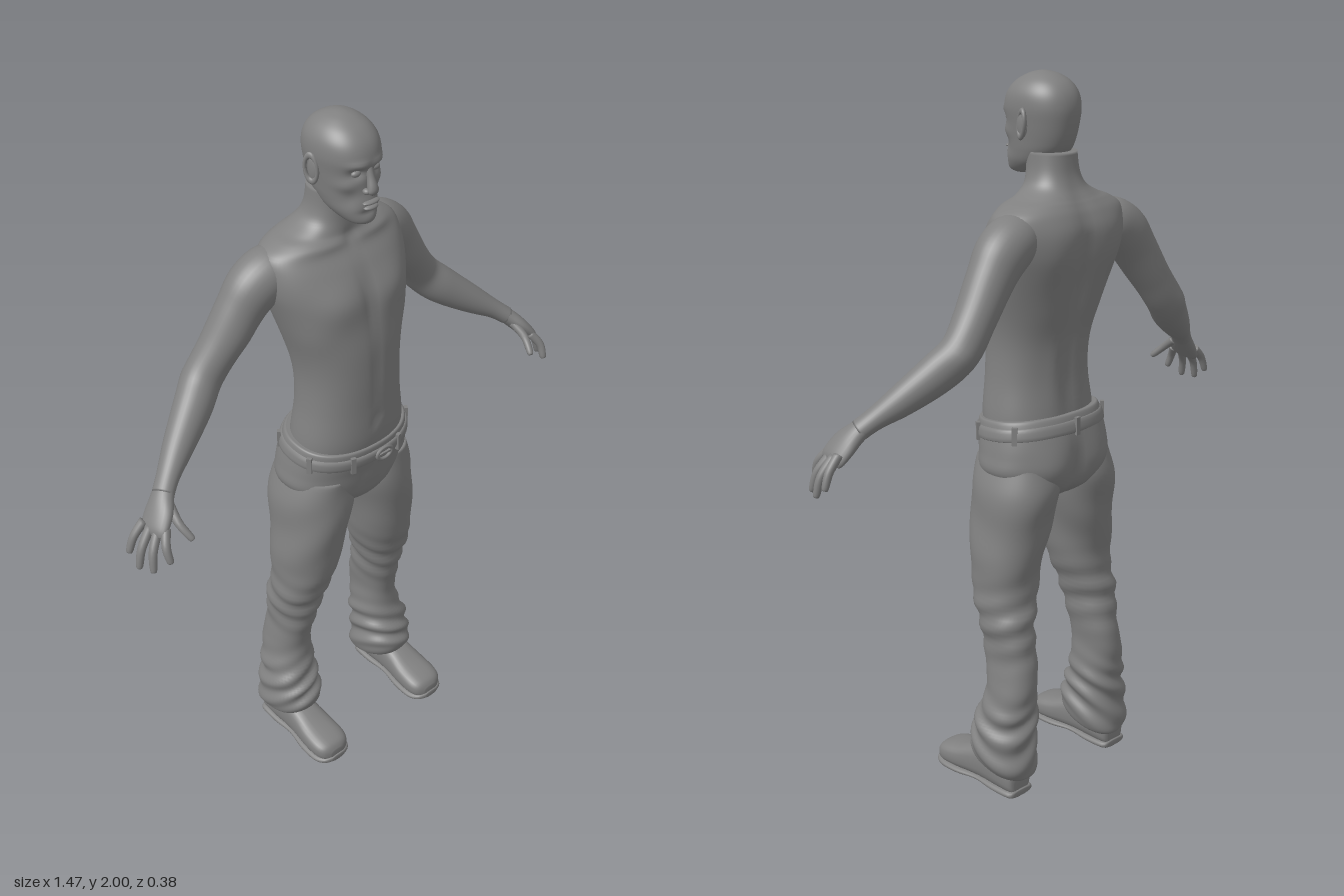
import * as THREE from 'three';

const gray = new THREE.MeshStandardMaterial({ color: 0x808080 });
gray.name = 'clay gray';
const V = (x, y, z) => new THREE.Vector3(x, y, z);

// Smoothly interpolates every column of a table of cross-sections
function spline(rows, sub) {
  const out = [];
  const at = (i) => rows[Math.min(Math.max(i, 0), rows.length - 1)];
  for (let i = 0; i < rows.length - 1; i++) {
    for (let k = 0; k < sub; k++) {
      const t = k / sub;
      out.push(rows[i].map((b, c) => {
        const a = at(i - 1)[c], d = at(i + 1)[c], e = at(i + 2)[c];
        return b + 0.5 * t * (d - a + t * (2 * a - 5 * b + 4 * d - e + t * (3 * (b - d) + e - a)));
      }));
    }
  }
  out.push(rows[rows.length - 1]);
  return out;
}

// Skins closed rings of points and caps both ends
function skin(rings) {
  const n = rings[0].length, m = rings.length, pos = [], index = [];
  rings.forEach((r) => r.forEach((p) => pos.push(p.x, p.y, p.z)));
  for (const r of [rings[0], rings[m - 1]]) {
    const c = r.reduce((s, p) => s.add(p), V(0, 0, 0)).divideScalar(n);
    pos.push(c.x, c.y, c.z);
  }
  for (let j = 0; j < n; j++) {
    const k = (j + 1) % n;
    for (let i = 0; i < m - 1; i++) {
      const a = i * n + j, b = i * n + k;
      index.push(a, a + n, b, b, a + n, b + n);
    }
    index.push(m * n, j, k, m * n + 1, (m - 1) * n + k, (m - 1) * n + j);
  }
  const g = new THREE.BufferGeometry();
  g.setAttribute('position', new THREE.Float32BufferAttribute(pos, 3));
  g.setIndex(index);
  g.computeVertexNormals();
  return g;
}

// Unit superellipse
function outline(seg, power) {
  const f = (v) => Math.sign(v) * Math.pow(Math.abs(v), 2 / power);
  return Array.from({ length: seg }, (_, j) => {
    const a = (j / seg) * Math.PI * 2;
    return [f(Math.cos(a)), f(Math.sin(a))];
  });
}

// Horizontal sections, rising: [y, centre x, half width, front z, back z]
function stack(rows, seg = 48, power = 2.2, sub = 5) {
  const o = outline(seg, power);
  return skin(spline(rows, sub).map(([y, cx, w, f, b]) =>
    o.map(([c, s]) => V(cx + w * c, y, (f + b) / 2 + ((f - b) / 2) * s))));
}

// Sections along a path: [x, y, z, radius across, radius toward the front]
function limb(rows, seg = 20, sub = 5) {
  const o = outline(seg, 2), list = spline(rows, sub);
  const P = list.map((r) => V(r[0], r[1], r[2]));
  return skin(list.map((r, i) => {
    const t = P[Math.min(i + 1, P.length - 1)].clone().sub(P[Math.max(i - 1, 0)]).normalize();
    const u = t.clone().cross(V(0, 0, 1)).normalize(), v = u.clone().cross(t);
    return o.map(([c, s]) => P[i].clone().addScaledVector(u, r[3] * c).addScaledVector(v, r[4] * s));
  }));
}

// Shoe sections from heel to toe: [z, half width, bottom, top]
function shoeForm(rows) {
  const o = outline(28, 2.7);
  return skin(spline(rows, 4).map(([z, w, lo, hi]) =>
    o.map(([c, s]) => V(0.195 + w * c, (lo + hi) / 2 - ((hi - lo) / 2) * s, z))));
}

// Moves each vertex along its normal by a rule
function sculpt(g, rule) {
  const p = g.attributes.position, n = g.attributes.normal;
  for (let i = 0; i < p.count; i++) {
    const d = rule(p.getX(i), p.getY(i), p.getZ(i));
    p.setXYZ(i, p.getX(i) + n.getX(i) * d, p.getY(i) + n.getY(i) * d, p.getZ(i) + n.getZ(i) * d);
  }
  g.computeVertexNormals();
  return g;
}

// Symmetrical soft bumps: [x, y, z, rx, ry, rz, height]
const bumps = (list) => (x, y, z) => list.reduce((sum, [bx, by, bz, rx, ry, rz, h]) =>
  sum + h * Math.exp(-(((Math.abs(x) - bx) / rx) ** 2) - ((y - by) / ry) ** 2 - ((z - bz) / rz) ** 2), 0);

// Tilts a height range so it drops toward the front or back
function tilt(g, weight) {
  const p = g.attributes.position;
  for (let i = 0; i < p.count; i++) p.setY(i, p.getY(i) + weight(p.getY(i)) * p.getZ(i));
  g.computeVertexNormals();
  return g;
}

function mirrored(g) {
  const m = g.clone().scale(-1, 1, 1), ix = m.index.array;
  for (let i = 0; i < ix.length; i += 3) [ix[i], ix[i + 1]] = [ix[i + 1], ix[i]];
  m.computeVertexNormals();
  return m;
}

const ball = (x, y, z, rx, ry, rz) => new THREE.SphereGeometry(1, 20, 14).scale(rx, ry, rz).translate(x, y, z);

export function createModel() {
  const man = new THREE.Group();
  man.name = 'standingMan';
  const add = (name, g) => {
    const m = new THREE.Mesh(g, gray);
    m.name = name;
    man.add(m);
  };
  const pair = (name, g) => {
    add(name + 'Left', g);
    add(name + 'Right', mirrored(g));
  };

  // Bare torso and neck
  add('torso', sculpt(stack([
    [1.03, 0, 0.165, 0.118, -0.12], [1.10, 0, 0.164, 0.13, -0.115], [1.20, 0, 0.150, 0.13, -0.107],
    [1.30, 0, 0.148, 0.13, -0.118], [1.40, 0, 0.166, 0.125, -0.148], [1.50, 0, 0.196, 0.108, -0.172],
    [1.56, 0, 0.212, 0.09, -0.182], [1.61, 0, 0.215, 0.066, -0.183], [1.65, 0, 0.205, 0.038, -0.170],
    [1.675, 0, 0.165, 0.026, -0.155], [1.69, 0, 0.125, 0.02, -0.144], [1.715, 0, 0.084, 0.018, -0.128],
    [1.75, 0, 0.068, 0.018, -0.115], [1.80, 0, 0.064, 0.02, -0.108]], 72, 2.25), bumps([
    [0.085, 1.53, 0.1, 0.07, 0.055, 0.07, 0.013], [0, 1.53, 0.1, 0.018, 0.09, 0.06, -0.008],
    [0.1, 1.56, -0.17, 0.06, 0.08, 0.06, 0.01], [0, 1.42, -0.16, 0.028, 0.24, 0.06, -0.018],
    [0.045, 1.22, -0.11, 0.03, 0.11, 0.04, 0.006], [0, 1.31, 0.13, 0.012, 0.11, 0.04, -0.005],
    [0, 1.165, 0.135, 0.011, 0.011, 0.03, -0.009], [0.09, 1.665, 0.02, 0.07, 0.012, 0.04, 0.006],
    [0, 1.675, 0.03, 0.018, 0.018, 0.03, -0.008], [0.14, 1.44, 0.02, 0.04, 0.05, 0.08, 0.006]])));

  // Head with sculpted brow, sockets, cheeks and jaw
  add('head', sculpt(stack([
    [1.735, 0, 0.022, 0.082, 0.03], [1.745, 0, 0.040, 0.094, 0.0], [1.77, 0, 0.058, 0.096, -0.055],
    [1.80, 0, 0.067, 0.094, -0.09], [1.83, 0, 0.072, 0.093, -0.106], [1.87, 0, 0.078, 0.094, -0.116],
    [1.91, 0, 0.083, 0.097, -0.12], [1.945, 0, 0.079, 0.086, -0.112], [1.972, 0, 0.063, 0.062, -0.092],
    [1.99, 0, 0.039, 0.030, -0.062], [1.998, 0, 0.016, 0.004, -0.034], [2.0, 0, 0.003, -0.012, -0.018]],
    80, 2.2, 6), bumps([
    [0.032, 1.877, 0.085, 0.018, 0.012, 0.04, -0.012], [0.03, 1.9, 0.09, 0.026, 0.009, 0.04, 0.006],
    [0.05, 1.845, 0.06, 0.018, 0.016, 0.04, 0.005], [0.045, 1.81, 0.065, 0.016, 0.022, 0.04, -0.005],
    [0, 1.797, 0.095, 0.03, 0.022, 0.04, 0.006], [0, 1.772, 0.095, 0.025, 0.007, 0.03, -0.005],
    [0, 1.75, 0.09, 0.022, 0.012, 0.03, 0.004]])));
  add('nose', limb([[0, 1.893, 0.088, 0.009, 0.008], [0, 1.865, 0.095, 0.010, 0.011],
    [0, 1.84, 0.103, 0.014, 0.013], [0, 1.829, 0.104, 0.015, 0.011], [0, 1.823, 0.10, 0.006, 0.005]], 20));
  pair('nostril', ball(0.014, 1.831, 0.096, 0.009, 0.008, 0.011));
  pair('eye', ball(0.031, 1.877, 0.077, 0.014, 0.009, 0.010));
  add('upperLip', ball(0, 1.800, 0.098, 0.026, 0.006, 0.012));
  add('lowerLip', ball(0, 1.786, 0.097, 0.022, 0.007, 0.013));
  const earRim = new THREE.TorusGeometry(0.023, 0.006, 10, 24).scale(0.75, 1.45, 1).rotateY(1.2);
  pair('earRim', earRim.rotateX(-0.12).translate(0.087, 1.872, -0.022));
  pair('earLobe', ball(0.083, 1.868, -0.02, 0.007, 0.032, 0.018));

  // Arms and hands, fingers spread toward the front
  pair('arm', sculpt(limb([
    [0.13, 1.605, -0.078, 0.05, 0.06], [0.175, 1.597, -0.083, 0.068, 0.072], [0.225, 1.565, -0.09, 0.072, 0.07],
    [0.268, 1.513, -0.096, 0.064, 0.062], [0.33, 1.425, -0.105, 0.055, 0.056], [0.385, 1.352, -0.109, 0.054, 0.052],
    [0.44, 1.300, -0.083, 0.053, 0.05], [0.52, 1.240, -0.042, 0.041, 0.041], [0.58, 1.198, -0.008, 0.028, 0.032],
    [0.615, 1.170, 0.014, 0.025, 0.031]], 32, 6), bumps([
    [0.29, 1.45, -0.04, 0.05, 0.05, 0.04, 0.005], [0.41, 1.345, -0.165, 0.03, 0.03, 0.03, 0.006]])));
  pair('palm', limb([[0.595, 1.187, 0.0, 0.022, 0.027], [0.62, 1.165, 0.017, 0.023, 0.034],
    [0.645, 1.138, 0.034, 0.022, 0.045], [0.67, 1.108, 0.046, 0.018, 0.046], [0.679, 1.094, 0.05, 0.009, 0.038]], 24));
  const fingers = {
    indexFinger: [[0.657, 1.118, 0.077], [0.677, 1.084, 0.102], [0.678, 1.048, 0.117]],
    middleFinger: [[0.668, 1.112, 0.058], [0.700, 1.068, 0.077], [0.711, 1.020, 0.088]],
    ringFinger: [[0.676, 1.112, 0.037], [0.713, 1.066, 0.046], [0.727, 1.018, 0.050]],
    littleFinger: [[0.680, 1.120, 0.016], [0.712, 1.085, 0.013], [0.728, 1.045, 0.012]],
    thumb: [[0.618, 1.155, 0.042], [0.624, 1.125, 0.085], [0.613, 1.092, 0.122]],
  };
  for (const [name, [a, b, c]] of Object.entries(fingers)) {
    const tip = c.map((v, i) => v + (c[i] - b[i]) * 0.12);
    pair(name, limb([[...a, 0.013, 0.013], [...b, 0.0115, 0.0115], [...c, 0.009, 0.009], [...tip, 0.002, 0.002]], 12));
  }

  // Trousers: hips and loose wrinkled legs
  const waistTilt = (y) => -0.1 * THREE.MathUtils.smoothstep(y, 0.98, 1.05);
  add('hips', tilt(sculpt(stack([
    [0.855, 0, 0.03, 0.03, -0.07], [0.87, 0, 0.08, 0.075, -0.105], [0.90, 0, 0.15, 0.105, -0.137],
    [0.95, 0, 0.198, 0.116, -0.15], [1.00, 0, 0.195, 0.123, -0.152], [1.05, 0, 0.186, 0.131, -0.142],
    [1.088, 0, 0.178, 0.134, -0.13], [1.092, 0, 0.168, 0.125, -0.12]], 64, 2.3), bumps([
    [0.085, 0.96, -0.15, 0.06, 0.06, 0.05, 0.013], [0, 0.94, -0.15, 0.022, 0.08, 0.06, -0.014],
    [0, 0.97, 0.12, 0.012, 0.06, 0.05, 0.005], [0.11, 0.9, 0.11, 0.09, 0.012, 0.06, -0.004]])), waistTilt));
  const leg = stack([
    [0.085, 0.187, 0.062, 0.032, -0.130], [0.098, 0.187, 0.076, 0.05, -0.143], [0.125, 0.187, 0.084, 0.060, -0.146],
    [0.165, 0.186, 0.081, 0.052, -0.140], [0.20, 0.183, 0.078, 0.046, -0.138], [0.25, 0.181, 0.074, 0.026, -0.140],
    [0.32, 0.174, 0.063, 0.014, -0.143], [0.40, 0.168, 0.058, 0.022, -0.137], [0.50, 0.164, 0.068, 0.045, -0.122],
    [0.60, 0.150, 0.085, 0.073, -0.106], [0.70, 0.138, 0.094, 0.094, -0.114], [0.80, 0.122, 0.100, 0.107, -0.133],
    [0.90, 0.108, 0.104, 0.112, -0.148], [0.98, 0.100, 0.088, 0.105, -0.135]], 48, 2.2, 7);
  sculpt(leg, (x, y, z) => {
    const knee = Math.exp(-(((y - 0.52) / 0.09) ** 2)), hem = Math.exp(-(((y - 0.2) / 0.08) ** 2));
    return 0.005 * knee * Math.sin(85 * y + 22 * z + 14 * x) + 0.007 * hem * Math.sin(100 * y - 30 * z + 45 * x)
      + 0.002 * Math.sin(38 * y + 25 * x - 18 * z);
  });
  pair('trouserLeg', tilt(leg, (y) => 0.26 * (1 - THREE.MathUtils.smoothstep(y, 0.1, 0.24))));

  // Belt, buckle and belt loops
  add('belt', tilt(stack([[1.040, 0, 0.180, 0.125, -0.135], [1.043, 0, 0.191, 0.137, -0.147],
    [1.072, 0, 0.186, 0.140, -0.140], [1.075, 0, 0.174, 0.125, -0.128]], 64, 2.3, 3), () => -0.1));
  add('buckle', new THREE.TorusGeometry(0.021, 0.005, 8, 20).scale(1.25, 0.85, 1).translate(0.02, 1.045, 0.142));
  add('buckleTongue', new THREE.BoxGeometry(0.04, 0.006, 0.008).translate(0.02, 1.045, 0.142));
  const loops = outline(64, 2.3);
  [4, 12, 20, 28, 37, 48, 59].forEach((k, i) => {
    const [c, s] = loops[k], z = -0.003 + 0.142 * s;
    const g = new THREE.BoxGeometry(0.014, 0.05, 0.01).rotateY(Math.atan2(c / 0.188, s / 0.142));
    add('beltLoop' + (i + 1), g.translate(0.189 * c, 1.058 - 0.1 * z, z));
  });

  // Shoes with a thin welted sole
  pair('shoe', shoeForm([[-0.122, 0.025, 0.012, 0.06], [-0.112, 0.042, 0.008, 0.095], [-0.06, 0.05, 0.008, 0.125],
    [0.0, 0.049, 0.008, 0.125], [0.05, 0.052, 0.008, 0.108], [0.10, 0.058, 0.008, 0.088],
    [0.15, 0.058, 0.008, 0.075], [0.178, 0.046, 0.01, 0.063], [0.19, 0.022, 0.015, 0.045]]));
  pair('sole', shoeForm([[-0.126, 0.028, 0.004, 0.02], [-0.115, 0.046, 0, 0.024], [-0.05, 0.051, 0, 0.024],
    [0.02, 0.049, 0.006, 0.024], [0.09, 0.061, 0, 0.024], [0.15, 0.062, 0, 0.024],
    [0.182, 0.048, 0.003, 0.026], [0.195, 0.022, 0.008, 0.026]]));
  return man;
}
